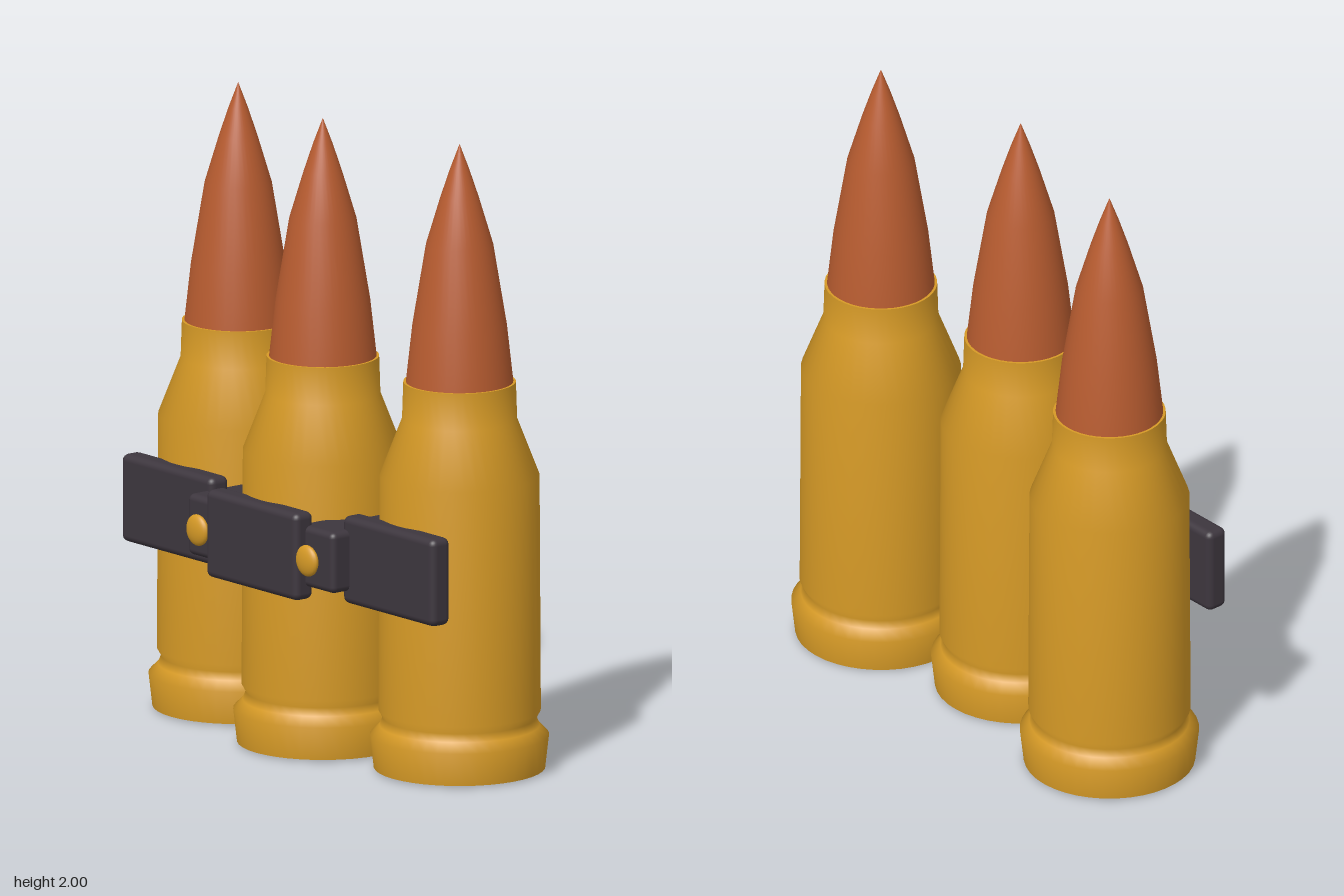
import * as THREE from 'three';
import { RoundedBoxGeometry } from 'three/addons/geometries/RoundedBoxGeometry.js';

const paint = (name, color) => {
  const m = new THREE.MeshStandardMaterial({ color });
  m.name = name;
  return m;
};

export function createModel() {
  const brass = paint('brass', 0xd69a26);
  const copper = paint('copper', 0xb85c30);
  const steel = paint('dark steel', 0x3d363e);
  const black = paint('primer black', 0x1f1c22);

  const model = new THREE.Group();
  model.name = 'linkedCartridges';

  const add = (parent, name, geometry, material, x = 0, y = 0, z = 0) => {
    const mesh = new THREE.Mesh(geometry, material);
    mesh.name = name;
    mesh.position.set(x, y, z);
    parent.add(mesh);
    return mesh;
  };
  const lathe = (points) => new THREE.LatheGeometry(points.map(([r, y]) => new THREE.Vector2(r, y)), 40);

  // Shared profiles: radius, height
  const BASE = 0.005, MOUTH = 1.24;
  const caseShape = lathe([
    [0.268, BASE], [0.28, 0.11], [0.25, 0.14], [0.24, 0.165], [0.254, 0.19],
    [0.25, 0.94], [0.18, 1.12], [0.176, MOUTH],
  ]);
  const tipShape = lathe([
    [0.169, 1.2], [0.168, MOUTH], [0.148, 1.42], [0.105, 1.68], [0.06, 1.83], [0.03, 1.92], [0, 2],
  ]);
  const baseShape = new THREE.CircleGeometry(0.268, 40).rotateX(Math.PI / 2);
  const mouthShape = new THREE.RingGeometry(0.16, 0.176, 40).rotateX(-Math.PI / 2);
  const primerShape = new THREE.CylinderGeometry(0.09, 0.09, 0.008, 32);

  // Three cartridges, the middle one set forward
  for (const [name, x, z] of [['right', -0.545, -0.065], ['middle', 0, 0.04], ['left', 0.545, -0.065]]) {
    const cartridge = new THREE.Group();
    cartridge.name = name + 'Cartridge';
    cartridge.position.set(x, 0, z);
    add(cartridge, 'case', caseShape, brass);
    add(cartridge, 'caseBase', baseShape, brass, 0, BASE);
    add(cartridge, 'caseMouth', mouthShape, brass, 0, MOUTH);
    add(cartridge, 'tip', tipShape, copper);
    add(cartridge, 'primer', primerShape, black, 0, 0.004);
    model.add(cartridge);
  }

  // Belt plates on the front of each cartridge
  const plate = new RoundedBoxGeometry(0.45, 0.28, 0.075, 3, 0.022);
  add(model, 'middlePlate', plate, steel, 0, 0.672, 0.295);

  // Side plates, connecting blocks and rivets, mirrored
  const block = new RoundedBoxGeometry(0.18, 0.195, 0.295, 3, 0.02);
  const rivet = new THREE.SphereGeometry(0.05, 24, 16).scale(1, 1, 0.4);
  for (const side of [-1, 1]) {
    const label = side > 0 ? 'left' : 'right';
    add(model, label + 'Plate', plate, steel, side * 0.545, 0.672, 0.19);
    add(model, label + 'Connector', block, steel, side * 0.27, 0.672, 0.147);
    add(model, label + 'Rivet', rivet, brass, side * 0.27, 0.672, 0.324);
  }
  return model;
}
